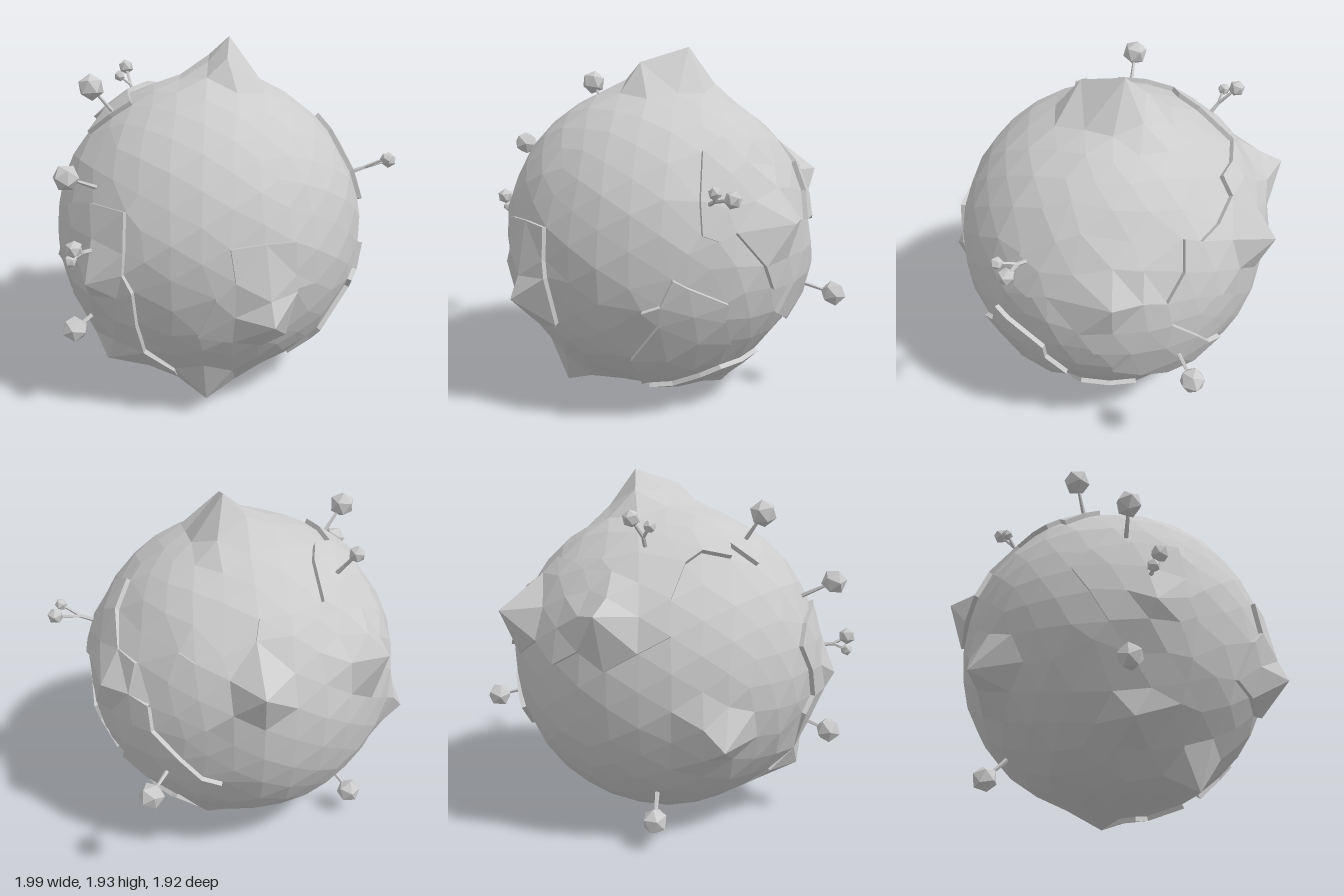
import * as THREE from 'three';

const CENTER = new THREE.Vector3(0, 0.89, 0);
const SEA = 0.864, LAND = 0.89;
const material = new THREE.MeshStandardMaterial({ color: 0xcccccc, flatShading: true, side: THREE.DoubleSide });
const at = (x, y, z) => new THREE.Vector3(x, y, z).sub(CENTER);

// Mountains: summit and the angular width of the foot
const peaks = [
  [0.17, 1.94, -0.06, 0.25], [0.02, 1.86, 0.17, 0.17], [-0.17, 0.67, 0.96, 0.22], [-0.16, 1.27, -0.96, 0.24],
  [0.53, 1.22, -0.83, 0.24], [-0.7, 0.6, -0.64, 0.22], [0.93, 1.07, 0, 0.26], [-0.9, 0.82, 0.33, 0.24],
  [-0.74, 0.3, 0.2, 0.24], [-0.28, 0.05, 0.47, 0.26], [0.37, 0.03, -0.13, 0.24],
].map(([x, y, z, foot]) => ({ summit: at(x, y, z), foot }));

// Coastlines, each drawn flat (u, v) and projected onto one side (w) of the globe
const front = { u: 'x', v: 'y', w: 'z', sign: 1, min: 0 };
const right = { u: 'z', v: 'y', w: 'x', sign: 1, min: 0 };
const left = { u: 'z', v: 'y', w: 'x', sign: -1, min: 0 };
const top = { u: 'x', v: 'z', w: 'y', sign: 1, min: 0.15 };
const lands = [
  [front, [[-0.45, 0.57], [-0.4, 0.8], [-0.33, 1.06], [-0.16, 1.07], [0, 1.06], [0.01, 0.8], [0, 0.53], [-0.13, 0.49]]],
  [front, [[0.36, 0.38], [0.55, 0.6], [0.5, 0.68], [0.63, 0.85], [0.78, 0.7], [0.72, 0.45], [0.55, 0.3], [0.35, 0.23]]],
  [top, [[0, -0.64], [0, -0.52], [-0.2, -0.36], [-0.33, -0.33], [-0.4, -0.18], [-0.46, -0.02], [-0.6, -0.02],
    [-0.55, -0.3], [-0.4, -0.5], [-0.38, -1], [0.6, -1], [0.85, -0.3], [0.68, -0.35], [0.55, -0.53],
    [0.4, -0.6], [0.2, -0.62]]],
  [left, [[0, 1.15], [0.2, 1.2], [0.42, 1.2], [0.46, 1], [0.5, 0.8], [0.47, 0.6], [0.4, 0.4], [0.45, 0.2],
    [0.1, 0.1], [0, 0.4], [0.02, 0.65], [0, 0.9]]],
  [right, [[0.2, 1.5], [0.15, 1.38], [0, 1.24], [-0.15, 1.22], [-0.15, 1.06], [-0.3, 0.9], [-0.44, 0.76],
    [-0.58, 0.62], [-0.3, 0.44], [-0.15, 0.51], [0, 0.58], [0, 0.73], [0.17, 0.87], [0.33, 1.06],
    [0.49, 1.06], [0.46, 1.22], [0.43, 1.38]]],
  [right, [[0.35, 0.12], [0.18, 0.27], [0.02, 0.27], [-0.13, 0.28], [-0.15, 0.05], [0.1, 0.02]]],
];

function inside([x, y], poly) {
  let hit = false;
  poly.forEach(([ax, ay], i) => {
    const [bx, by] = poly[(i + 1) % poly.length];
    if ((ay > y) !== (by > y) && x < ax + ((y - ay) / (by - ay)) * (bx - ax)) hit = !hit;
  });
  return hit;
}

function isLand(dir) {
  const p = dir.clone().setLength(0.88);
  const lift = (axis) => p[axis] + CENTER[axis];
  return lands.some(([{ u, v, w, sign, min }, poly]) =>
    p[w] * sign > min && inside([lift(u), v === 'z' ? p.z : lift(v)], poly));
}

// Directions of the coastline corners that lie on the globe
function coastCorners() {
  const dirs = [];
  for (const [{ u, v, w, sign }, poly] of lands) {
    for (const [a, b] of poly) {
      const p = new THREE.Vector3();
      p[u] = a - CENTER[u];
      p[v] = b - CENTER[v];
      const rest = 0.88 ** 2 - p.lengthSq();
      if (rest < 0) continue;
      p[w] = sign * Math.sqrt(rest);
      dirs.push(p.normalize());
    }
  }
  return dirs;
}

// Globe: faceted sphere whose land faces are lifted, with cliffs along the coast
function buildGlobe() {
  const pos = new THREE.IcosahedronGeometry(1, 5).attributes.position;
  const key = (v) => [v.x, v.y, v.z].map((n) => Math.round(n * 1000) + 0).join();
  const verts = new Map(), faces = [], edges = new Map();
  for (let i = 0; i < pos.count; i += 3) {
    faces.push({
      corners: [0, 1, 2].map((k) => {
        const dir = new THREE.Vector3().fromBufferAttribute(pos, i + k);
        const id = key(dir);
        if (!verts.has(id)) verts.set(id, { id, dir });
        return verts.get(id);
      }),
    });
  }
  // Pull the nearest free vertex to each summit and each coastline corner
  const pull = (target, reach) => {
    let best = null, bestAngle = reach;
    for (const v of verts.values()) {
      const angle = v.dir.angleTo(target);
      if (!v.pinned && angle < bestAngle) { best = v; bestAngle = angle; }
    }
    if (!best) return {};
    best.pinned = true;
    best.dir = target.clone().normalize();
    return best;
  };
  for (const { summit } of peaks) pull(summit, 0.3).summit = summit;
  for (const corner of coastCorners()) pull(corner, 0.105);

  for (const face of faces) {
    const mid = face.corners.reduce((s, c) => s.add(c.dir), new THREE.Vector3()).normalize();
    face.land = isLand(mid);
    face.corners.forEach((c, k) => edges.set(c.id + '|' + face.corners[(k + 1) % 3].id, face.land));
  }
  const place = (v, land) => {
    if (v.summit) return v.summit;
    let r = (land ? LAND : SEA) + 0.004 * Math.sin(v.dir.x * 17 + v.dir.y * 23 + v.dir.z * 29);
    for (const { summit, foot } of peaks) {
      const slope = 1 - v.dir.angleTo(summit) / foot;
      if (slope > 0) r = Math.max(r, SEA + (summit.length() - SEA) * slope);
    }
    return v.dir.clone().multiplyScalar(r);
  };
  const out = [];
  const tri = (...pts) => pts.forEach((p) => out.push(p.x, p.y, p.z));
  for (const { corners, land } of faces) {
    tri(...corners.map((c) => place(c, land)));
    if (!land) continue;
    corners.forEach((a, k) => {
      const b = corners[(k + 1) % 3];
      if (edges.get(b.id + '|' + a.id)) return;
      const a0 = place(a, false), b0 = place(b, false), a1 = place(a, true), b1 = place(b, true);
      tri(a0, b0, b1);
      tri(a0, b1, a1);
    });
  }
  const geo = new THREE.BufferGeometry();
  geo.setAttribute('position', new THREE.Float32BufferAttribute(out, 3));
  geo.computeVertexNormals();
  const mesh = new THREE.Mesh(geo, material);
  mesh.name = 'globe';
  return mesh;
}

// Stem between two points
function stem(a, b, r) {
  const mesh = new THREE.Mesh(new THREE.CylinderGeometry(r * 0.8, r, a.distanceTo(b), 5), material);
  mesh.position.lerpVectors(a, b, 0.5);
  mesh.quaternion.setFromUnitVectors(new THREE.Vector3(0, 1, 0), b.clone().sub(a).normalize());
  mesh.name = 'stem';
  return mesh;
}

// Tree: a trunk with one crown, or a trunk forking to several crowns
function tree(crowns) {
  const group = new THREE.Group();
  group.name = 'tree';
  const tips = crowns.map(([x, y, z]) => at(x, y, z));
  const axis = tips.reduce((s, t) => s.add(t), new THREE.Vector3()).normalize();
  const fork = axis.clone().multiplyScalar(0.95);
  group.add(stem(axis.clone().multiplyScalar(0.85), fork, 0.013));
  tips.forEach((tip, i) => {
    const r = crowns[i][3];
    const crown = new THREE.Mesh(new THREE.IcosahedronGeometry(r, 0), material);
    crown.name = 'crown';
    crown.position.copy(tip);
    crown.rotation.set(i + tip.x, tip.y * 2, tip.z);
    group.add(stem(fork, tip, 0.01), crown);
  });
  return group;
}

const trees = [
  [[-0.64, 1.72, -0.12, 0.072]],
  [[-0.92, 1.35, 0.2, 0.07]],
  [[-0.92, 0.52, 0.2, 0.07]],
  [[0.925, 0.61, -0.41, 0.07]],
  [[-0.3, 0.16, -0.635, 0.07]],
  [[0.895, 1.26, 0.5, 0.045], [0.83, 1.29, 0.55, 0.034]],
  [[-0.955, 1.03, 0.35, 0.047], [-0.965, 0.96, 0.32, 0.034]],
  [[-0.19, 1.71, -0.67, 0.045], [-0.26, 1.67, -0.61, 0.034]],
];

export function createModel() {
  const model = new THREE.Group();
  model.name = 'lowPolyPlanet';
  const planet = new THREE.Group();
  planet.name = 'planet';
  planet.position.copy(CENTER);
  planet.add(buildGlobe(), ...trees.map(tree));
  model.add(planet);
  return model;
}
